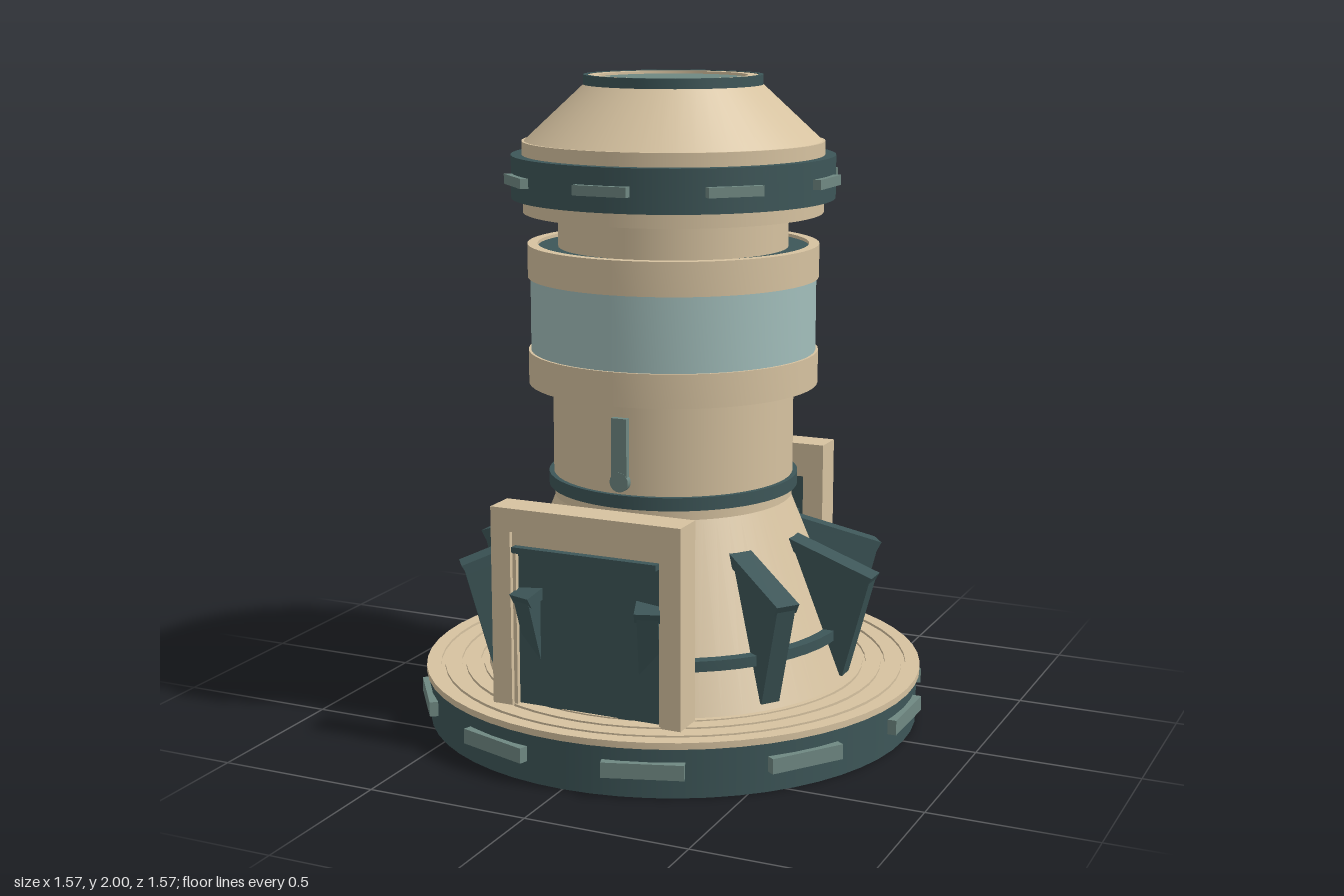
import * as THREE from 'three';
import { toCreasedNormals } from 'three/addons/utils/BufferGeometryUtils.js';

const material = (name, color) => {
  const m = new THREE.MeshStandardMaterial({ color });
  m.name = name;
  return m;
};

export function createModel() {
  const model = new THREE.Group();
  const tan = material('sand', 0xd6c2a0);
  const dark = material('dark teal', 0x3d5658);
  const glass = material('pale glass', 0xa2bebb);
  const slate = material('slate', 0x6f8882);

  const add = (name, geometry, mat, parent = model) => {
    const mesh = new THREE.Mesh(geometry, mat);
    mesh.name = name;
    parent.add(mesh);
    return mesh;
  };
  // Solid drum between two heights
  const drum = (name, y0, y1, r0, r1, mat) =>
    add(name, new THREE.CylinderGeometry(r1, r0, y1 - y0, 56), mat).position.y = (y0 + y1) / 2;
  // Turned profile with crisp corners
  const turned = (name, points, mat) => add(name, toCreasedNormals(
    new THREE.LatheGeometry(points.map(([r, y]) => new THREE.Vector2(r, y)), 56), 0.5), mat);
  const hoop = (name, y0, y1, inner, outer, mat) => turned(name,
    [[inner, y0], [outer, y0], [outer, y1], [inner, y1], [inner, y0]], mat);
  const box = (name, w, h, d, x, y, z, mat, parent) =>
    add(name, new THREE.BoxGeometry(w, h, d), mat, parent).position.set(x, y, z);

  // Base with a stepped deck
  drum('base', 0, 0.152, 0.77, 0.77, dark);
  turned('deck', [[0, 0.15], [0.78, 0.15], [0.78, 0.17], [0.735, 0.17], [0.735, 0.162],
    [0.722, 0.162], [0.722, 0.17], [0.67, 0.17], [0.67, 0.162], [0.657, 0.162],
    [0.657, 0.17], [0.61, 0.17], [0.61, 0.162], [0.6, 0.162], [0.6, 0.17], [0, 0.17]], tan);

  // Lower tower
  drum('skirt', 0.165, 0.71, 0.585, 0.365, tan);
  hoop('skirtBand', 0.3, 0.332, 0.48, 0.553, dark);
  drum('skirtCollar', 0.71, 0.745, 0.37, 0.37, tan);
  drum('waistBand', 0.742, 0.782, 0.387, 0.387, dark);
  drum('waist', 0.78, 1.08, 0.372, 0.372, tan);

  // Glazed gallery between two collars
  drum('galleryCore', 1.072, 1.482, 0.425, 0.425, dark);
  hoop('lowerCollar', 1.063, 1.165, 0.415, 0.446, tan);
  hoop('window', 1.163, 1.392, 0.42, 0.438, glass);
  hoop('upperCollar', 1.39, 1.492, 0.415, 0.446, tan);
  drum('neck', 1.475, 1.6, 0.352, 0.352, tan);

  // Head
  drum('headFlange', 1.588, 1.64, 0.458, 0.458, tan);
  drum('headRing', 1.632, 1.762, 0.493, 0.493, dark);
  drum('headRim', 1.76, 1.803, 0.46, 0.46, tan);
  drum('headCone', 1.803, 1.97, 0.452, 0.272, tan);
  hoop('capRing', 1.965, 2, 0.258, 0.272, dark);
  hoop('capLip', 1.965, 1.998, 0.225, 0.26, tan);
  drum('capLens', 1.965, 1.99, 0.226, 0.226, slate);

  // Plates spaced around a ring
  const plates = (name, count, radius, y, w, h, d) => {
    for (let i = 0; i < count; i++) {
      const pivot = new THREE.Group();
      pivot.name = name;
      pivot.rotation.y = (i / count) * Math.PI * 2;
      box(name, d, h, w, radius, y, 0, slate, pivot);
      model.add(pivot);
    }
  };
  plates('basePlate', 10, 0.77, 0.085, 0.24, 0.046, 0.034);
  plates('headPlate', 8, 0.495, 1.695, 0.17, 0.03, 0.03);

  // Ten buttress fins: a broad sloping arm above a slimmer leg
  const slab = (points, width) => {
    const shape = new THREE.Shape(points.map(([x, y]) => new THREE.Vector2(x, y)));
    return new THREE.ExtrudeGeometry(shape, { depth: width, bevelEnabled: false })
      .translate(0, 0, -width / 2);
  };
  const leg = slab([[0.36, 0.6], [0.545, 0.2], [0.58, 0.19], [0.663, 0.5], [0.645, 0.51]], 0.062);
  const arm = slab([[0.37, 0.585], [0.655, 0.482], [0.672, 0.512], [0.38, 0.617]], 0.076);
  for (let i = 0; i < 10; i++) {
    const fin = new THREE.Group();
    fin.name = 'fin';
    fin.rotation.y = (i / 10) * Math.PI * 2;
    add('finLeg', leg, dark, fin);
    add('finArm', arm, dark, fin);
    model.add(fin);
  }

  // Doorways front and back
  for (const turn of [0, Math.PI]) {
    const doorway = new THREE.Group();
    doorway.name = 'doorway';
    doorway.rotation.y = turn;
    for (const s of [-1, 1]) {
      box('doorPost', 0.063, 0.605, 0.103, s * 0.2735, 0.4675, 0.571, tan, doorway);
      box('doorTrim', 0.012, 0.53, 0.075, s * 0.237, 0.43, 0.57, tan, doorway);
    }
    box('doorLintel', 0.61, 0.07, 0.103, 0, 0.737, 0.571, tan, doorway);
    box('doorHead', 0.486, 0.045, 0.075, 0, 0.68, 0.57, tan, doorway);
    box('door', 0.464, 0.49, 0.05, 0, 0.413, 0.567, dark, doorway);
    box('doorTopBar', 0.464, 0.018, 0.06, 0, 0.65, 0.602, dark, doorway);
    model.add(doorway);
  }

  // Lever on the front of the waist
  box('lever', 0.05, 0.2, 0.03, 0, 0.915, 0.375, slate);
  const knob = add('leverFoot', new THREE.CylinderGeometry(0.03, 0.03, 0.03, 20), slate);
  knob.rotation.x = Math.PI / 2;
  knob.position.set(0, 0.822, 0.376);

  return model;
}
